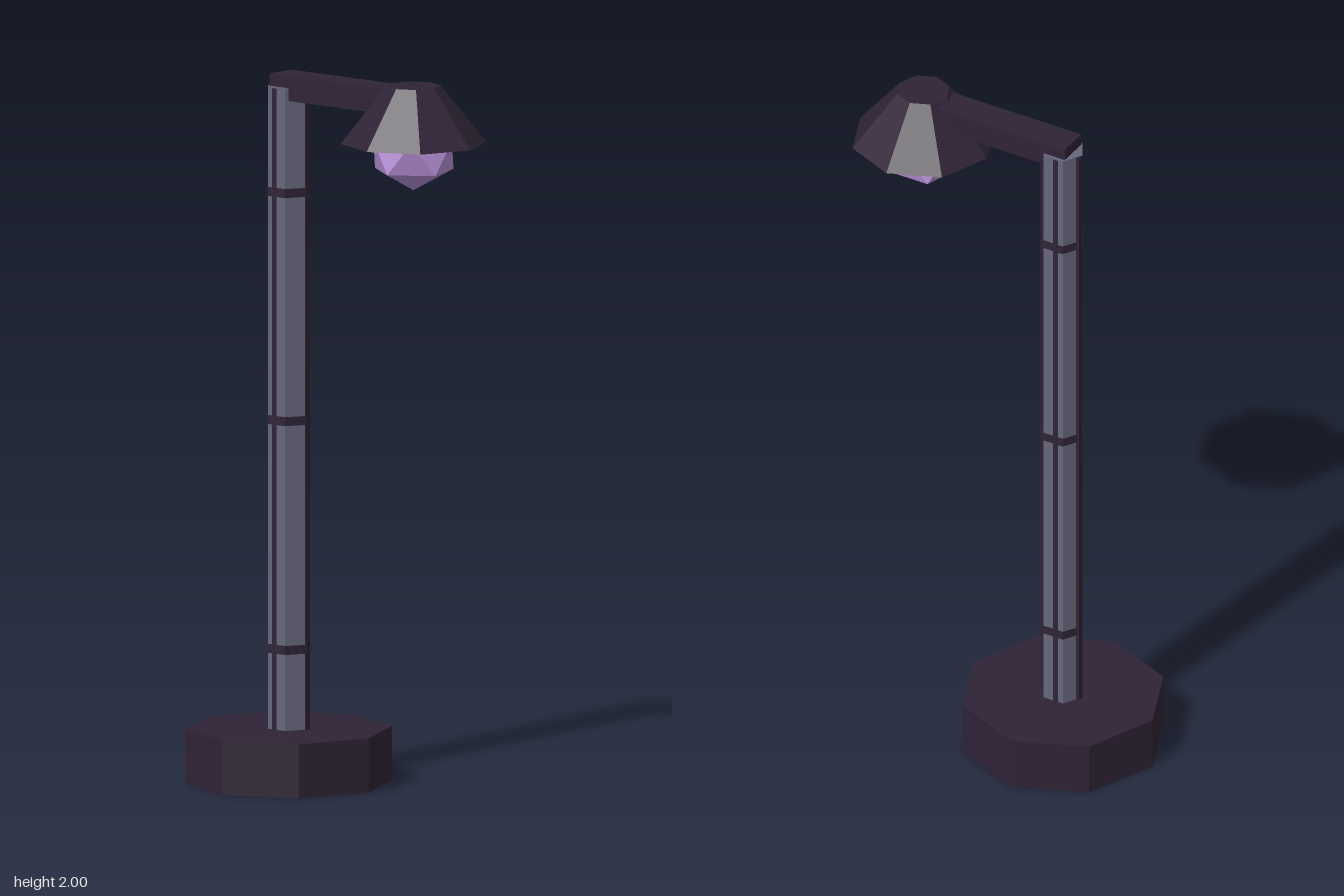
import * as THREE from 'three';

export function createModel() {
  const model = new THREE.Group();
  const material = (name, color) => {
    const m = new THREE.MeshStandardMaterial({ color, flatShading: true });
    m.name = name;
    return m;
  };
  const dark = material('dark plum metal', 0x2f2336);
  const grey = material('grey post', 0x66667c);
  const glow = material('violet glass', 0xb58fd6);

  const add = (name, geometry, mat, x, y, z) => {
    const mesh = new THREE.Mesh(geometry, mat);
    mesh.name = name;
    mesh.position.set(x, y, z);
    model.add(mesh);
    return mesh;
  };

  const postZ = -0.183;
  const lampZ = 0.265;

  // Octagonal foot
  add('base', new THREE.CylinderGeometry(0.287, 0.287, 0.152, 8), dark, 0, 0.076, postZ);

  // Six-sided post with dark seams running up four sides
  const postHeight = 1.805;
  const postY = 0.15 + postHeight / 2;
  add('post', new THREE.CylinderGeometry(0.062, 0.062, postHeight, 6), grey, 0, postY, postZ);
  add('frontBackSeam', new THREE.BoxGeometry(0.02, postHeight, 0.124), dark, 0.008, postY, postZ);
  add('sideSeam', new THREE.BoxGeometry(0.109, postHeight - 0.004, 0.016), dark, 0, postY - 0.002, postZ - 0.008);

  // Bands around the post
  for (const y of [0.378, 1.02, 1.66]) {
    add('band', new THREE.CylinderGeometry(0.0635, 0.0635, 0.025, 6), dark, 0, y, postZ);
  }

  // Horizontal arm
  add('arm', new THREE.BoxGeometry(0.09, 0.07, 0.41), dark, 0, 1.954, -0.01);

  // Lamp shade
  add('shade', new THREE.CylinderGeometry(0.075, 0.203, 0.16, 8), dark, 0, 1.92, lampZ);

  // Faceted bulb, turned to stand on one corner and slightly flattened
  const bulb = new THREE.IcosahedronGeometry(0.128, 0);
  bulb.rotateZ(-Math.atan(2 / (1 + Math.sqrt(5))));
  bulb.scale(1, 0.79, 1);
  add('bulb', bulb, glow, 0, 1.808, lampZ);

  return model;
}
